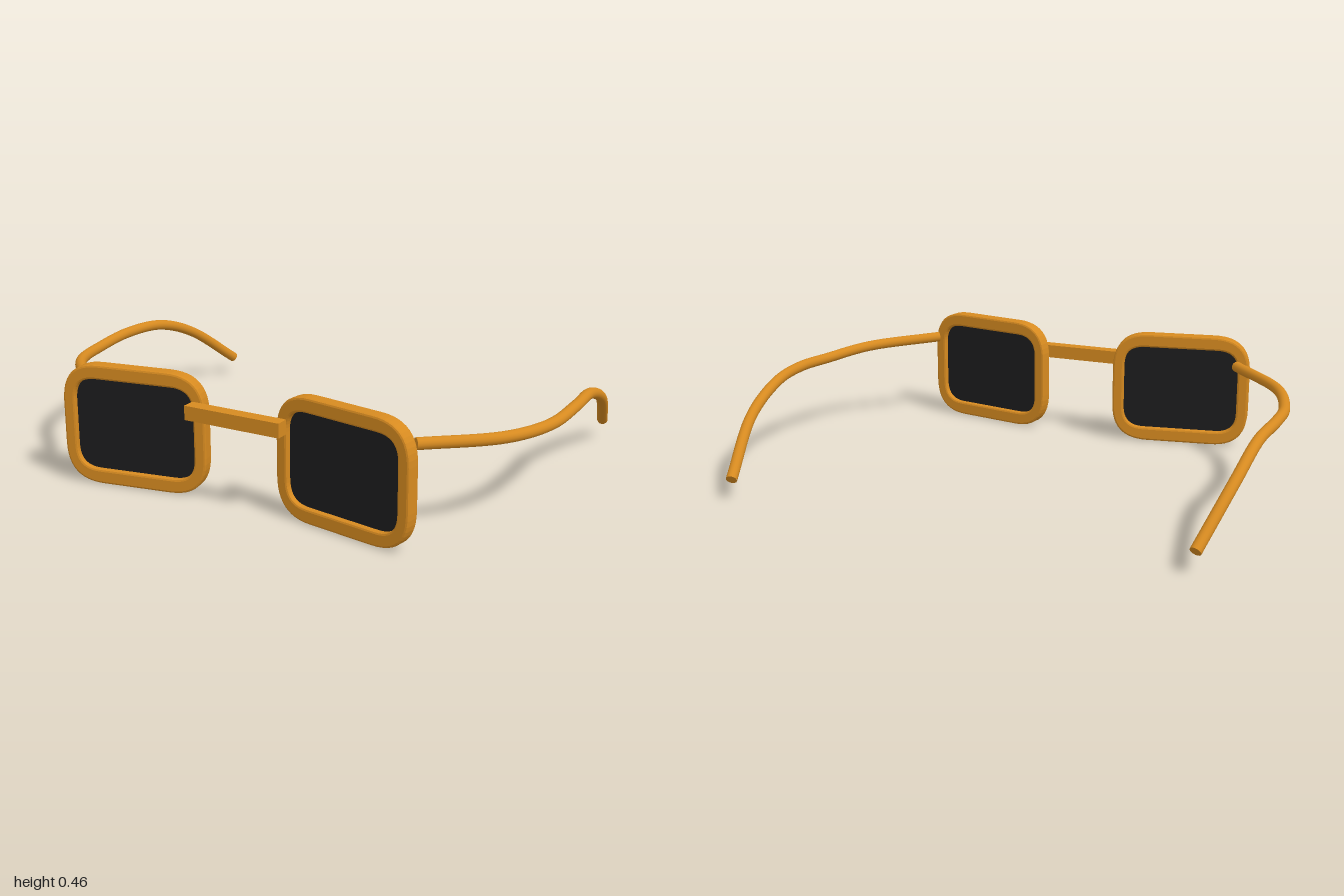
import * as THREE from 'three';

const frameMat = new THREE.MeshStandardMaterial({ color: 0xd68a20 });
const lensMat = new THREE.MeshStandardMaterial({ color: 0x1c1c1e });

// Soft rectangle centred on the origin; k near 1 pulls the corners square
function softRect(Type, w, h, r, k = 0.68) {
  const x = w / 2, y = h / 2, c = r * (1 - k);
  const p = new Type();
  p.moveTo(-x + r, -y);
  p.lineTo(x - r, -y);
  p.bezierCurveTo(x - c, -y, x, -y + c, x, -y + r);
  p.lineTo(x, y - r);
  p.bezierCurveTo(x, y - c, x - c, y, x - r, y);
  p.lineTo(-x + r, y);
  p.bezierCurveTo(-x + c, y, -x, y - c, -x, y - r);
  p.lineTo(-x, -y + r);
  p.bezierCurveTo(-x, -y + c, -x + c, -y, -x + r, -y);
  return p;
}

function addMesh(parent, name, geometry, material) {
  const mesh = new THREE.Mesh(geometry, material);
  mesh.name = name;
  parent.add(mesh);
  return mesh;
}

// Rim with a lightly bevelled edge, and the dark lens set in its middle
function makeEyepiece(side) {
  const group = new THREE.Group();
  group.name = side > 0 ? 'leftEyepiece' : 'rightEyepiece';
  const b = 0.008, depth = 0.055;
  const shape = softRect(THREE.Shape, 0.56 - 2 * b, 0.455 - 2 * b, 0.14);
  shape.holes.push(softRect(THREE.Path, 0.468 + 2 * b, 0.345 + 2 * b, 0.095));
  const rim = new THREE.ExtrudeGeometry(shape, {
    depth: depth - 2 * b, bevelThickness: b, bevelSize: b, bevelSegments: 2, curveSegments: 12,
  });
  rim.translate(0, 0, -depth / 2 + b);
  addMesh(group, 'rim', rim, frameMat);

  const lens = new THREE.ExtrudeGeometry(softRect(THREE.Shape, 0.48, 0.357, 0.1), {
    depth: 0.014, bevelEnabled: false, curveSegments: 12,
  });
  lens.translate(0, 0, -0.007);
  addMesh(group, 'lens', lens, lensMat);

  group.position.set(side * 0.427, 0.2275, 0.631);
  group.rotation.y = -side * THREE.MathUtils.degToRad(10);
  return group;
}

// Curved arm that bows outward and drops behind the ear, with closed ends
function makeTemple(side) {
  const group = new THREE.Group();
  group.name = side > 0 ? 'leftTemple' : 'rightTemple';
  const radius = 0.021;
  const curve = new THREE.CatmullRomCurve3([
    [0.668, 0.353, 0.597], [0.885, 0.342, 0.37], [0.963, 0.333, 0.15], [0.978, 0.34, -0.05],
    [0.962, 0.327, -0.25], [0.941, 0.248, -0.46], [0.88, 0.078, -0.695],
  ].map(([x, y, z]) => new THREE.Vector3(side * x, y, z)));
  addMesh(group, 'arm', new THREE.TubeGeometry(curve, 64, radius, 16), frameMat);
  for (const t of [0, 1]) {
    const cap = addMesh(group, 'armEnd', new THREE.CircleGeometry(radius, 16), frameMat);
    const out = curve.getTangentAt(t).multiplyScalar(t ? 1 : -1);
    cap.position.copy(curve.getPointAt(t));
    cap.quaternion.setFromUnitVectors(new THREE.Vector3(0, 0, 1), out);
  }
  return group;
}

export function createModel() {
  const model = new THREE.Group();
  model.name = 'glasses';
  for (const side of [1, -1]) model.add(makeEyepiece(side), makeTemple(side));

  // Straight bar joining the two rims
  const bridge = addMesh(model, 'bridge', new THREE.BoxGeometry(0.384, 0.053, 0.05), frameMat);
  bridge.position.set(0, 0.333, 0.64);
  return model;
}
